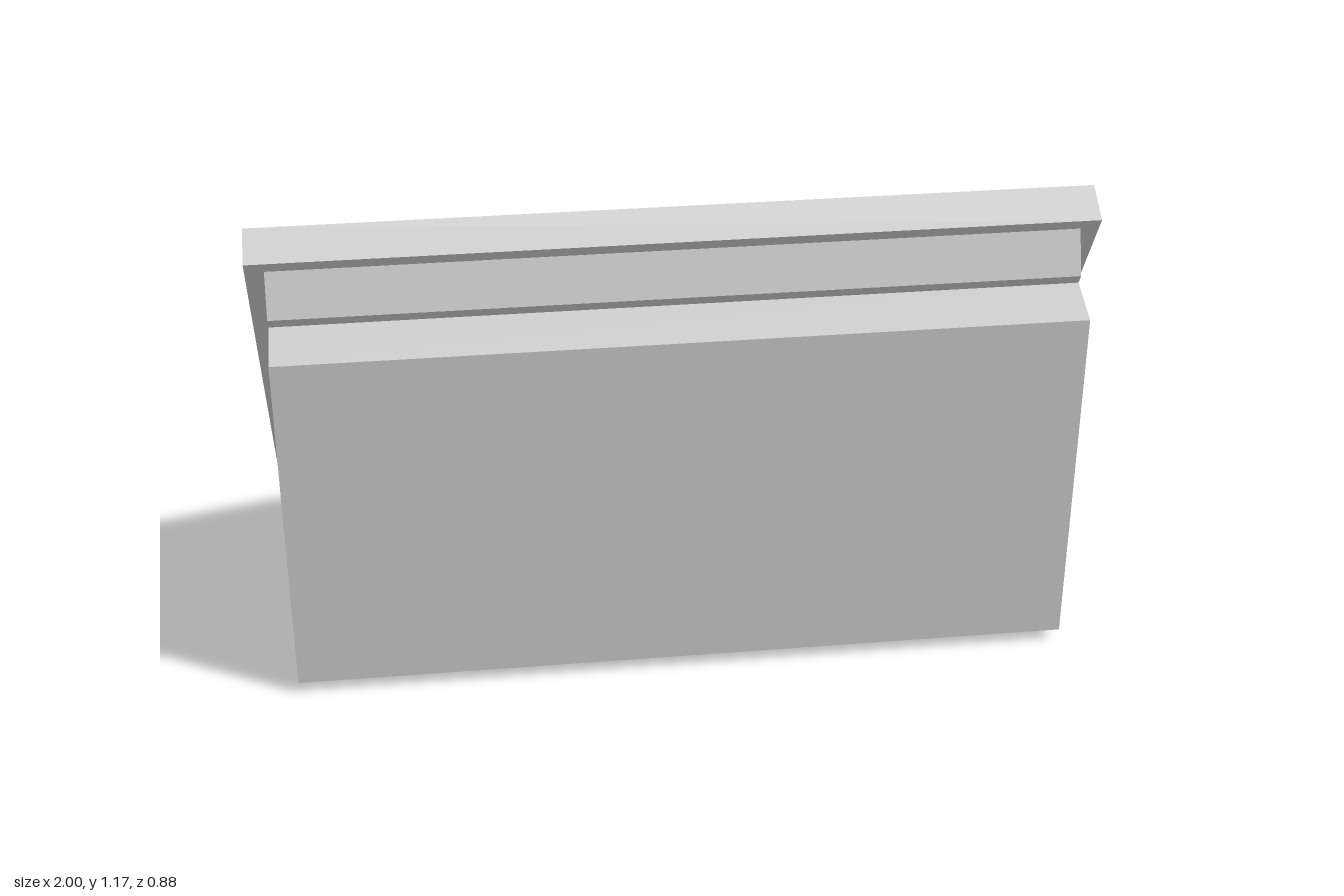
import * as THREE from 'three';

const material = new THREE.MeshStandardMaterial({ color: 0xcccccc, flatShading: true });
const openMaterial = new THREE.MeshStandardMaterial({ color: 0xcccccc, flatShading: true, side: THREE.DoubleSide });

function addMesh(parent, name, geometry, mat = material) {
  const mesh = new THREE.Mesh(geometry, mat);
  mesh.name = name;
  parent.add(mesh);
}

// Closed outline from [x, y] corners
const outline = (pts) => new THREE.Shape(pts.map(([x, y]) => new THREE.Vector2(x, y)));
const rect = (x0, x1, y0, y1) => outline([[x0, y0], [x1, y0], [x1, y1], [x0, y1]]);

// Removes the triangles for which drop(normal, centre) is true
function dropFaces(source, drop) {
  const p = source.getAttribute('position');
  const kept = [];
  const t = new THREE.Triangle();
  const n = new THREE.Vector3(), c = new THREE.Vector3();
  for (let i = 0; i < p.count; i += 3) {
    t.setFromAttributeAndIndices(p, i, i + 1, i + 2);
    t.getNormal(n);
    t.getMidpoint(c);
    if (!drop(n, c)) kept.push(t.a.clone(), t.b.clone(), t.c.clone());
  }
  const g = new THREE.BufferGeometry().setFromPoints(kept);
  g.computeVertexNormals();
  return g;
}

export function createModel() {
  const model = new THREE.Group();

  // Wedge body: side profile as [z, y]; its sloped side is left open behind the panel
  const width = 1.91;
  const profile = outline([
    [-0.333, 0.03], [0.44, 0.03], [0.44, 0.92], [0.325, 0.96], [0.34, 0.985], [0.3, 1.092],
  ]);
  const body = new THREE.ExtrudeGeometry(profile, { depth: width, bevelEnabled: false });
  body.translate(0, 0, -width / 2).rotateY(-Math.PI / 2);
  addMesh(model, 'body', dropFaces(body, (n) => n.z < -0.5));

  // Sloped panel group: local y runs up the slope, local z runs into the body
  const panel = new THREE.Group();
  panel.name = 'slopedPanel';
  panel.position.set(0, 0.0515, -0.438);
  panel.rotation.x = 0.539;
  model.add(panel);

  const pocket = { x0: -0.805, x1: -0.495, y0: 0.454, y1: 0.834, innerY: 0.69, depth: 0.154 };
  const recess = { x0: -0.11, x1: 0.79, y0: 0.59, y1: 1.097, depth: 0.012 };

  // Slab with two openings, the pocket one without its straight walls
  const face = rect(-1, 1, 0, 1.303);
  for (const o of [pocket, recess]) face.holes.push(rect(o.x0, o.x1, o.y0, o.y1));
  const slab = new THREE.ExtrudeGeometry(face, { depth: 0.1, bevelEnabled: false });
  const inPocket = (c) => c.x > pocket.x0 - 0.01 && c.x < pocket.x1 + 0.01
    && c.y > pocket.y0 - 0.01 && c.y < pocket.y1 + 0.01;
  addMesh(panel, 'panelSlab', dropFaces(slab, (n, c) => Math.abs(n.z) < 0.5 && inPocket(c)));

  // Floor of the shallow recess
  const floor = new THREE.PlaneGeometry(recess.x1 - recess.x0, recess.y1 - recess.y0);
  floor.translate((recess.x0 + recess.x1) / 2, (recess.y0 + recess.y1) / 2, recess.depth);
  addMesh(panel, 'recessFloor', floor, openMaterial);

  // Wedge pocket lining: sloping floor, upper wall and two triangular cheeks
  const corners = [];
  for (const x of [pocket.x0, pocket.x1]) {
    corners.push(x, pocket.y0, 0, x, pocket.innerY, pocket.depth, x, pocket.y1, 0);
  }
  const indexed = new THREE.BufferGeometry();
  indexed.setAttribute('position', new THREE.Float32BufferAttribute(corners, 3));
  indexed.setIndex([0, 1, 4, 0, 4, 3, 1, 2, 5, 1, 5, 4, 0, 2, 1, 3, 4, 5]);
  const lining = indexed.toNonIndexed();
  lining.computeVertexNormals();
  addMesh(panel, 'pocketLining', lining, openMaterial);

  return model;
}
